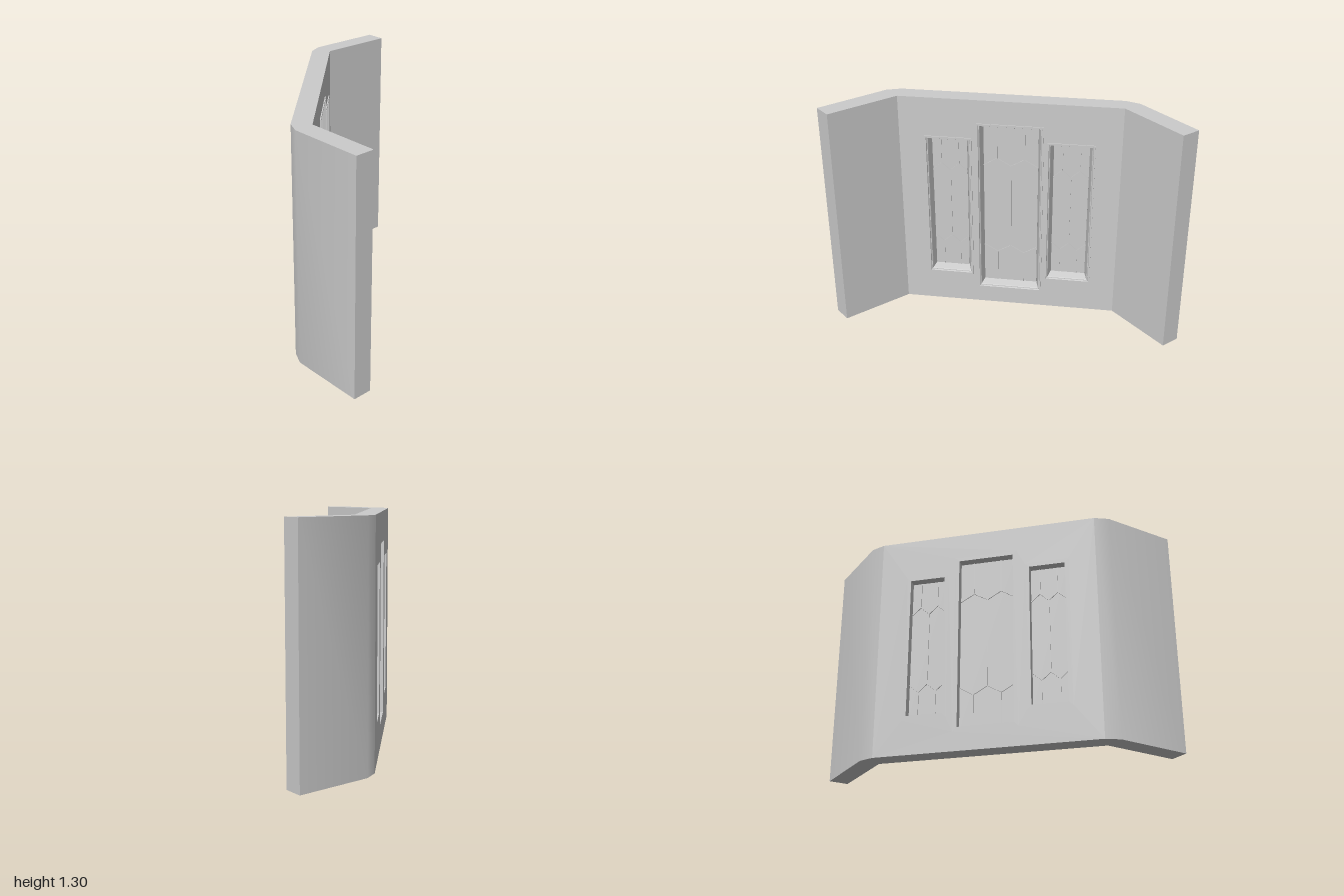
import * as THREE from 'three';
import { toCreasedNormals } from 'three/addons/utils/BufferGeometryUtils.js';

const H = 1.305, OUT = -0.205, IN = -0.1, GLASS = -0.152, BEND = 0.62;
const material = new THREE.MeshStandardMaterial({ color: 0xcccccc });

// centre z, width, bottom and top of each window frame
const windows = [
  { name: 'centreWindow', z: -0.003, w: 0.375, y0: 0.1, y1: 1.168 },
  { name: 'leftSideWindow', z: 0.345, w: 0.265, y0: 0.187, y1: 1.077 },
  { name: 'rightSideWindow', z: -0.343, w: 0.265, y0: 0.187, y1: 1.077 },
];
const HOLE = 0.01; // wall cut-out inset, hidden under the frame lip
const REVEAL = 0.033; // inset of the glass and outer opening

function add(parent, name, geometry) {
  const mesh = new THREE.Mesh(geometry, material);
  mesh.name = name;
  parent.add(mesh);
  return mesh;
}

// corners of a window rectangle inset by d, counter-clockwise seen from +x
function corners(win, d, x) {
  const a = win.z + win.w / 2 - d, b = win.z - win.w / 2 + d;
  const lo = win.y0 + d, hi = win.y1 - d;
  return [[x, lo, a], [x, lo, b], [x, hi, b], [x, hi, a]];
}

// rectangular moulding that follows a profile of [inset, x] steps
function mouldingGeometry(win, profile) {
  const rings = profile.map(([d, x]) => corners(win, d, x));
  const pos = [];
  for (let i = 0; i < rings.length - 1; i++) {
    for (let k = 0; k < 4; k++) {
      const n = (k + 1) % 4, r = rings[i], s = rings[i + 1];
      pos.push(...r[k], ...r[n], ...s[n], ...r[k], ...s[n], ...s[k]);
    }
  }
  const g = new THREE.BufferGeometry();
  g.setAttribute('position', new THREE.Float32BufferAttribute(pos, 3));
  g.computeVertexNormals();
  return g;
}

// flat middle wall with three openings
function middleWall() {
  const toShape = (pts) => pts.map(([, y, z]) => new THREE.Vector2(-z, y));
  const shape = new THREE.Shape(
    [[-BEND, 0], [BEND, 0], [BEND, H], [-BEND, H]].map((p) => new THREE.Vector2(...p)));
  for (const win of windows) {
    shape.holes.push(new THREE.Path(toShape(corners(win, HOLE, 0)).reverse()));
  }
  return new THREE.ExtrudeGeometry(shape, { depth: IN - OUT, bevelEnabled: false })
    .rotateY(Math.PI / 2).translate(OUT, 0, 0);
}

// angled end wall with a softened outer corner
function wing(side) {
  const plan = [[IN, BEND], [OUT, BEND], [-0.175, 0.7], [0.125, 1], [0.2, 0.922]];
  const shape = new THREE.Shape(plan.map(([x, z]) => new THREE.Vector2(x, -z * side)));
  const g = new THREE.ExtrudeGeometry(shape, { depth: H, bevelEnabled: false }).rotateX(-Math.PI / 2);
  return toCreasedNormals(g, 0.6);
}

// thin lead strip between two [z, y] points in the glass plane
function leadStrip(parent, a, b) {
  const dz = b[0] - a[0], dy = b[1] - a[1];
  const mesh = add(parent, 'leadStrip', new THREE.BoxGeometry(0.018, Math.hypot(dz, dy), 0.005));
  mesh.position.set(GLASS, (a[1] + b[1]) / 2, (a[0] + b[0]) / 2);
  mesh.rotation.x = Math.atan2(dz, dy);
}

function buildWindow(win) {
  const group = new THREE.Group();
  group.name = win.name;

  // raised lip, groove, splayed inner reveal and straight outer reveal
  add(group, 'frame', mouldingGeometry(win, [
    [0, IN], [0, IN + 0.006], [0.009, IN + 0.006], [0.012, IN - 0.002],
    [0.016, IN - 0.002], [0.019, IN - 0.008], [REVEAL, GLASS],
    [REVEAL, OUT], [HOLE, OUT],
  ]));

  const w = win.w - 2 * REVEAL, h = win.y1 - win.y0 - 2 * REVEAL;
  const cy = (win.y0 + win.y1) / 2;
  add(group, 'glass', new THREE.BoxGeometry(0.008, h, w)).position.set(GLASS, cy, win.z);

  // lead pattern: zigzag bands joined by upright strips
  const q = w / 4, amp = 0.045, band = h * 0.26;
  for (const s of [1, -1]) {
    const low = cy + s * band, peak = low + s * amp;
    for (let i = -2; i < 2; i++) {
      const y = (k) => (k % 2 ? peak : low);
      leadStrip(group, [win.z + i * q, y(i)], [win.z + (i + 1) * q, y(i + 1)]);
    }
    for (const e of [-q, q]) leadStrip(group, [win.z + e, peak], [win.z + e, cy + s * h / 2]);
  }
  leadStrip(group, [win.z, cy - band], [win.z, cy + band]);
  return group;
}

export function createModel() {
  const model = new THREE.Group();
  model.name = 'bayWall';
  add(model, 'middleWall', middleWall());
  add(model, 'leftWing', wing(1));
  add(model, 'rightWing', wing(-1));
  for (const win of windows) model.add(buildWindow(win));
  return model;
}
